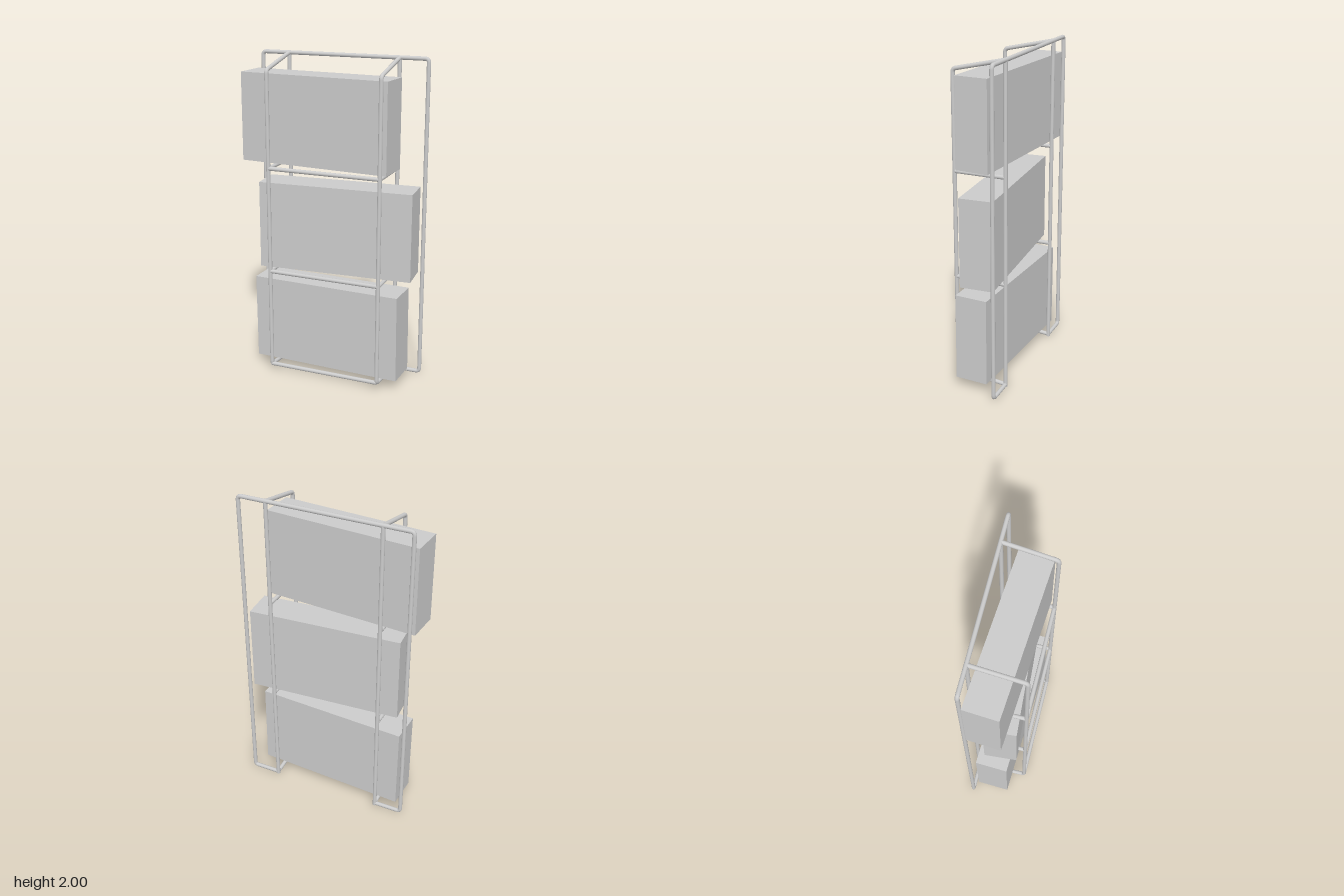
import * as THREE from 'three';

const R = 0.0125;
const BACK = -0.16, FRONT = 0.158;
const TOP = 1.9875, BASE = 0.0125;
const material = new THREE.MeshStandardMaterial({ color: 0xcccccc });

const V = (x, y, z) => new THREE.Vector3(x, y, z);

function add(parent, name, geometry) {
  const mesh = new THREE.Mesh(geometry, material);
  mesh.name = name;
  parent.add(mesh);
  return mesh;
}

// Straight capped bar between two points
function bar(parent, name, a, b) {
  const dir = b.clone().sub(a);
  const mesh = add(parent, name, new THREE.CylinderGeometry(R, R, dir.length(), 16));
  mesh.position.copy(a).add(b).multiplyScalar(0.5);
  mesh.quaternion.setFromUnitVectors(V(0, 1, 0), dir.normalize());
}

// Bar bent along a polyline, with rounded corners
function bentBar(parent, name, points, bend = 0.022) {
  const path = new THREE.CurvePath();
  let from = points[0];
  for (let i = 1; i < points.length - 1; i++) {
    const p = points[i];
    const toward = (q) => p.clone().add(q.clone().sub(p).setLength(bend));
    const start = toward(points[i - 1]), end = toward(points[i + 1]);
    path.add(new THREE.LineCurve3(from, start));
    path.add(new THREE.QuadraticBezierCurve3(start, p, end));
    from = end;
  }
  path.add(new THREE.LineCurve3(from, points[points.length - 1]));
  add(parent, name, new THREE.TubeGeometry(path, 500, R, 16, false));
}

export function createModel() {
  const model = new THREE.Group();
  model.name = 'boxRack';

  const frame = new THREE.Group();
  frame.name = 'frame';
  model.add(frame);

  const sides = [['right', -0.343], ['left', 0.366]];
  const [xr, xl] = sides.map((s) => s[1]);

  // Wide back hoop, turned inward at the feet
  bentBar(frame, 'backHoop', [
    V(xr, BASE, BACK), V(-0.52, BASE, BACK), V(-0.52, TOP, BACK),
    V(0.542, TOP, BACK), V(0.542, BASE, BACK), V(xl, BASE, BACK),
  ]);

  // Side frames with sloping top and bottom, and shelf rails
  const shelves = [0.675, 1.33];
  for (const [side, x] of sides) {
    bar(frame, side + 'BackPost', V(x, 0, BACK), V(x, TOP, BACK));
    bentBar(frame, side + 'FrontPost', [
      V(x, BASE, BACK), V(x, 0.044, FRONT), V(x, 1.918, FRONT), V(x, TOP, BACK),
    ]);
    for (const y of shelves) bar(frame, side + 'ShelfRail', V(x, y, BACK), V(x, y, FRONT));
  }

  // Front crossbars
  for (const y of [0.046, ...shelves]) bar(frame, 'frontCrossbar', V(xr, y, FRONT), V(xl, y, FRONT));

  // Loosely stacked boxes: position, turn, tilt
  const boxes = [
    ['lowerBox', V(-0.002, 0.324, -0.008), -0.047, 0.009],
    ['middleBox', V(0.046, 0.959, -0.014), 0.07, 0],
    ['upperBox', V(-0.075, 1.616, -0.003), -0.073, 0],
  ];
  for (const [name, position, turn, tilt] of boxes) {
    const box = add(model, name, new THREE.BoxGeometry(0.96, 0.542, 0.204));
    box.position.copy(position);
    box.rotation.set(0, turn, tilt);
  }

  return model;
}
